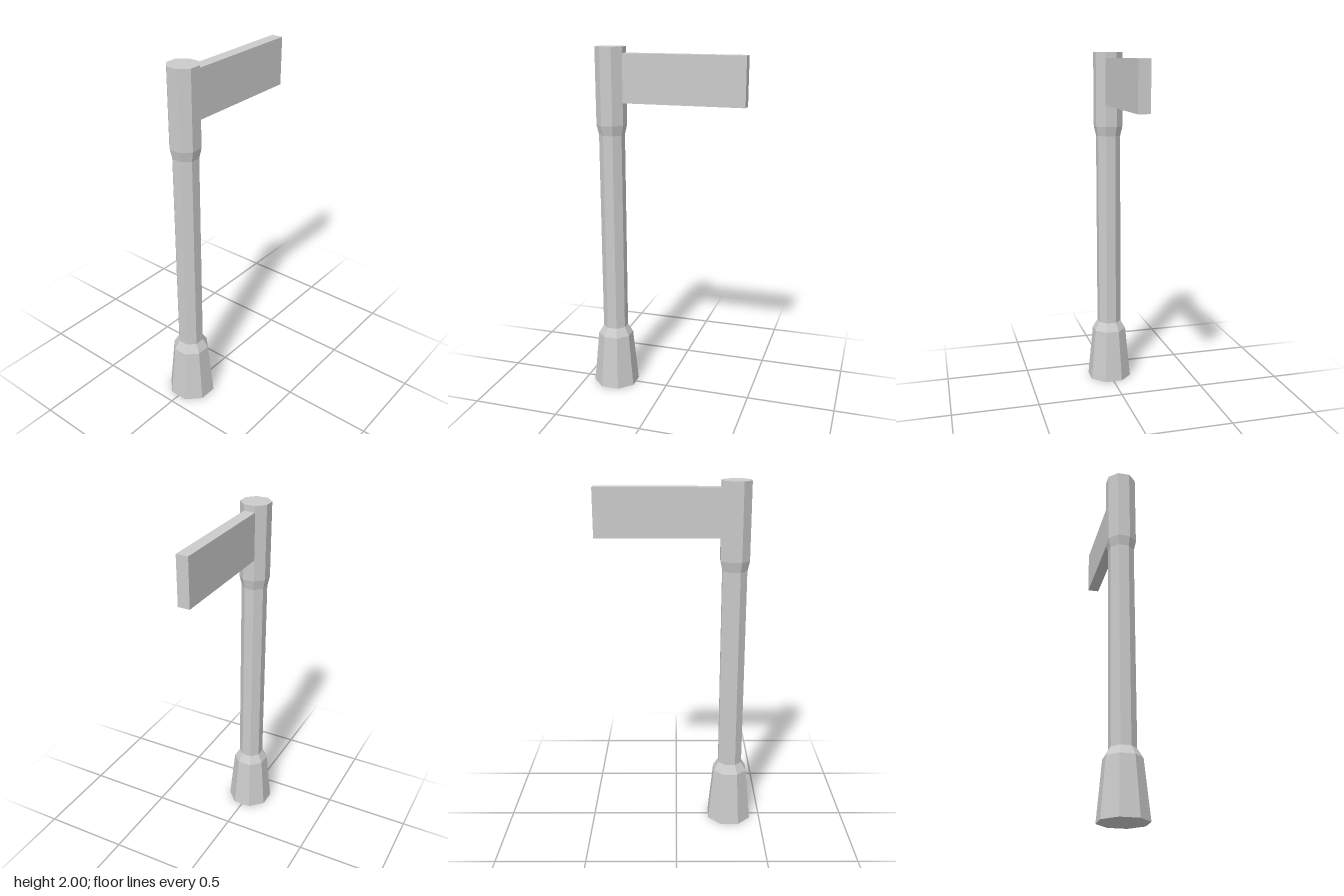
import * as THREE from 'three';

export function createModel() {
  const group = new THREE.Group();
  const material = new THREE.MeshStandardMaterial({ color: 0xcccccc, flatShading: true });
  const postZ = 0.317;

  // Octagonal post sections: [distance from axis to flat side, height]
  const addSection = (name, profile) => {
    const points = profile.map(([flat, y]) => new THREE.Vector2(flat / Math.cos(Math.PI / 8), y));
    const mesh = new THREE.Mesh(new THREE.LatheGeometry(points, 8, Math.PI / 8), material);
    mesh.name = name;
    mesh.position.z = postZ;
    group.add(mesh);
  };

  // Flared foot with a closed underside and a chamfered shoulder
  addSection('postBase', [[0, 0], [0.124, 0], [0.095, 0.315], [0.067, 0.365]]);
  addSection('postShaft', [[0.067, 0.365], [0.067, 1.52]]);
  // Thicker head with a flat top
  addSection('postHead', [[0.067, 1.52], [0.079, 1.575], [0.079, 2], [0, 2]]);

  // Sign board reaching backwards, turned very slightly
  const board = new THREE.Mesh(new THREE.BoxGeometry(0.066, 0.267, 0.683), material);
  board.name = 'signBoard';
  board.position.set(0.0025, 1.832, -0.102);
  board.rotation.y = -0.0075;
  group.add(board);

  return group;
}
